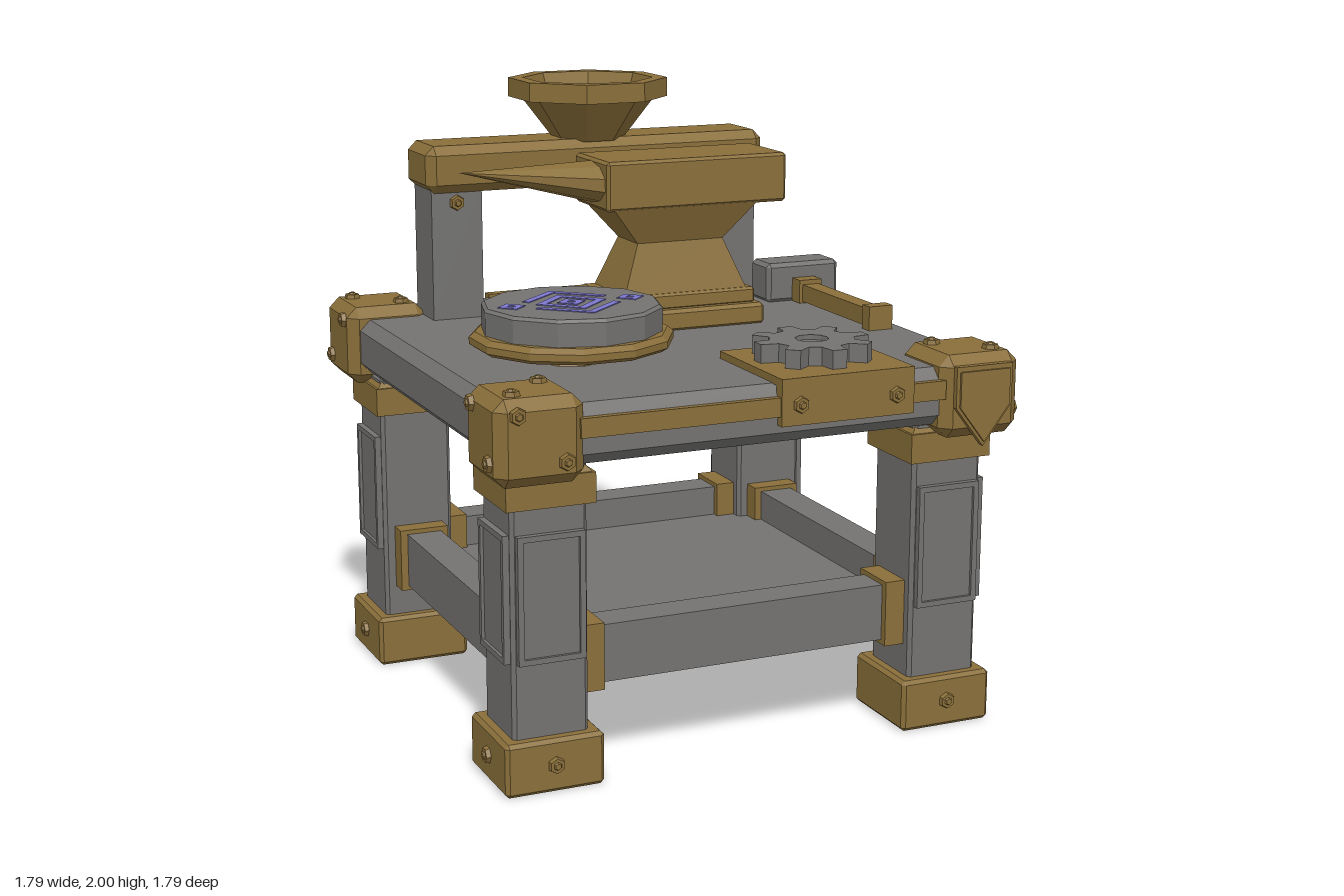
import * as THREE from 'three';
import { ConvexGeometry } from 'three/addons/geometries/ConvexGeometry.js';

const material = (name, color) => {
  const m = new THREE.MeshStandardMaterial({ color, flatShading: true });
  m.name = name;
  return m;
};

// Box with chamfered edges
function bevelBox(w, h, d, b) {
  const pts = [];
  for (const sx of [-1, 1]) for (const sy of [-1, 1]) for (const sz of [-1, 1]) {
    const x = w / 2, y = h / 2, z = d / 2;
    pts.push(new THREE.Vector3(sx * x, sy * (y - b), sz * (z - b)));
    pts.push(new THREE.Vector3(sx * (x - b), sy * y, sz * (z - b)));
    pts.push(new THREE.Vector3(sx * (x - b), sy * (y - b), sz * z));
  }
  return new ConvexGeometry(pts);
}

// Rectangular block whose bottom and top sizes differ
function frustum(w0, d0, w1, d1, h) {
  const g = new THREE.BoxGeometry(1, h, 1), p = g.attributes.position;
  for (let i = 0; i < p.count; i++) {
    const top = p.getY(i) > 0;
    p.setX(i, p.getX(i) * (top ? w1 : w0));
    p.setZ(i, p.getZ(i) * (top ? d1 : d0));
  }
  g.computeVertexNormals();
  return g;
}

const box = (w, h, d) => new THREE.BoxGeometry(w, h, d);
const polygon = (pts) => new THREE.Shape(pts.map(([x, y]) => new THREE.Vector2(x, y)));
const extrude = (shape, depth) => new THREE.ExtrudeGeometry(shape, { depth, bevelEnabled: false, curveSegments: 6 });
const diamond = (r) => [[r, 0], [0, r], [-r, 0], [0, -r]];

export function createModel() {
  const model = new THREE.Group();
  model.name = 'workbench';
  const brass = material('brass', 0x8a6f3a);
  const stone = material('stone grey', 0x747371);
  const violet = material('rune violet', 0x7d77cf);

  const add = (name, geo, mat, x = 0, y = 0, z = 0, parent = model) => {
    const m = new THREE.Mesh(geo, mat);
    m.name = name;
    m.position.set(x, y, z);
    parent.add(m);
    return m;
  };

  // Hex bolt pointing along a direction
  const washerGeo = new THREE.CylinderGeometry(0.024, 0.028, 0.016, 6);
  const headGeo = new THREE.CylinderGeometry(0.01, 0.015, 0.008, 6);
  const bolt = (x, y, z, dx, dy, dz) => {
    const g = new THREE.Group();
    g.name = 'bolt';
    add('boltHead', washerGeo, brass, 0, 0.006, 0, g);
    add('boltTip', headGeo, brass, 0, 0.016, 0, g);
    g.position.set(x, y, z);
    g.quaternion.setFromUnitVectors(new THREE.Vector3(0, 1, 0), new THREE.Vector3(dx, dy, dz));
    model.add(g);
  };

  // Framed panel for the outer faces of a leg
  const frameShape = polygon([[-0.108, -0.2], [0.108, -0.2], [0.108, 0.2], [-0.108, 0.2]]);
  frameShape.holes.push(polygon([[-0.09, -0.182], [-0.09, 0.182], [0.09, 0.182], [0.09, -0.182]]));
  const frameGeo = extrude(frameShape, 0.022);

  // Legs and table corners
  const LX = 0.677, LZ = 0.635;
  for (const sx of [-1, 1]) for (const sz of [-1, 1]) {
    const x = sx * LX, z = sz * LZ;
    add('foot', bevelBox(0.32, 0.17, 0.32, 0.012), brass, x, 0.087, z);
    bolt(x, 0.09, z + sz * 0.16, 0, 0, sz);
    bolt(x + sx * 0.16, 0.09, z, sx, 0, 0);
    add('leg', bevelBox(0.245, 0.88, 0.245, 0.012), stone, x, 0.58, z);
    for (const side of [0, 1]) {
      const panel = new THREE.Group();
      panel.name = 'legPanel';
      add('panelFrame', frameGeo, stone, 0, 0, 0, panel);
      add('panelInset', box(0.18, 0.364, 0.012), stone, 0, 0, 0.006, panel);
      panel.position.set(x + (side ? sx * 0.121 : 0), 0.61, z + (side ? 0 : sz * 0.121));
      panel.rotation.y = side ? sx * Math.PI / 2 : (sz > 0 ? 0 : Math.PI);
      model.add(panel);
    }
    add('legCollar', box(0.285, 0.095, 0.285), brass, x, 0.938, z);
    add('legCollarTaper', frustum(0.27, 0.27, 0.19, 0.19, 0.045), brass, x, 1.007, z);

    const cx = sx * 0.735, cz = sz > 0 ? 0.722 : -0.745;
    add('cornerCap', bevelBox(0.28, 0.265, 0.28, 0.035), brass, cx, 1.112, cz);
    for (const k of [-1, 1]) {
      bolt(cx + sx * k * 0.067, 1.2445, cz + sz * k * 0.067, 0, 1, 0);
      bolt(cx + sx * 0.14, 1.125 - k * 0.075, cz + sz * k * 0.075, sx, 0, 0);
      if (!(sx > 0 && sz > 0)) bolt(cx + sx * k * 0.075, 1.125 + k * 0.075, cz + sz * 0.14, 0, 0, sz);
    }
  }

  // Lower stretchers with clamps, and shelf
  for (const s of [-1, 1]) {
    add('stretcherLong', box(1.12, 0.185, 0.12), stone, 0, 0.383, s * LZ);
    add('stretcherSide', box(0.12, 0.185, 1.04), stone, s * LX, 0.383, 0);
    for (const t of [-1, 1]) {
      add('stretcherClamp', box(0.07, 0.215, 0.17), brass, t * 0.522, 0.383, s * LZ);
      add('stretcherClamp', box(0.17, 0.215, 0.07), brass, s * LX, 0.383, t * 0.482);
    }
  }
  add('shelf', box(1.3, 0.06, 1.22), stone, 0, 0.34, 0);

  // Table top with brass trims
  add('tableTop', bevelBox(1.675, 0.185, 1.685, 0.036), stone, 0, 1.112, -0.0125);
  add('frontTrim', box(1.22, 0.06, 0.04), brass, 0, 1.14, 0.83);
  add('backTrim', box(1.22, 0.06, 0.04), brass, 0, 1.14, -0.853);
  add('backPlate', box(0.57, 0.15, 0.04), brass, 0, 1.135, -0.868);

  // Gear and its mounting plate
  add('gearPlateTop', box(0.455, 0.026, 0.44), brass, 0.264, 1.215, 0.638);
  add('gearPlateFront', box(0.455, 0.145, 0.04), brass, 0.264, 1.153, 0.838);
  for (const x of [0.1, 0.43]) bolt(x, 1.145, 0.857, 0, 0, 1);
  const teeth = [];
  for (let i = 0; i < 8; i++) {
    for (const [da, r] of [[-0.24, 0.135], [-0.13, 0.19], [0.13, 0.19], [0.24, 0.135]]) {
      const a = i * Math.PI / 4 + da;
      teeth.push([r * Math.cos(a), r * Math.sin(a)]);
    }
  }
  const gearShape = polygon(teeth);
  gearShape.holes.push(new THREE.Path().absarc(0, 0, 0.053, 0, Math.PI * 2, true));
  add('gear', extrude(gearShape, 0.06), stone, 0.264, 1.227, 0.608).rotation.x = -Math.PI / 2;
  add('gearHub', new THREE.CylinderGeometry(0.053, 0.053, 0.045, 12), stone, 0.264, 1.249, 0.608);

  // Pointed bracket on the front left corner
  const shield = (s) => polygon([[-0.1, 0.13], [-0.1, 0], [0, -0.13], [0.1, 0], [0.1, 0.13]].map(([x, y]) => [x * s, y * s]));
  add('cornerShield', extrude(shield(1), 0.022), brass, 0.73, 1.085, 0.858);
  add('cornerShieldFace', extrude(shield(0.88), 0.008), brass, 0.73, 1.085, 0.88);

  // Rune disc on its stand
  const disc = new THREE.Group();
  disc.name = 'runeDisc';
  disc.position.set(-0.402, 0, 0.255);
  model.add(disc);
  add('discStand', new THREE.CylinderGeometry(0.07, 0.105, 0.07, 8), brass, 0, 1.232, 0, disc);
  const profile = (pts) => pts.map(([r, y]) => new THREE.Vector2(r, y));
  add('discRing', new THREE.LatheGeometry(profile([[0, 1.255], [0.305, 1.255], [0.324, 1.268], [0.324, 1.29],
    [0.305, 1.306], [0, 1.306]]), 12), brass, 0, 0, 0, disc).rotation.y = Math.PI / 12;
  add('discStone', new THREE.LatheGeometry(profile([[0, 1.3], [0.288, 1.3], [0.288, 1.38], [0.278, 1.39], [0, 1.39]]), 12),
    stone, 0, 0, 0, disc);
  const rune = (shape, x = 0, z = 0, turn = 0) => {
    const m = add('rune', extrude(shape, 0.004), violet, x, 1.389, z, disc);
    m.rotation.set(-Math.PI / 2, 0, turn);
  };
  const ring = (r, hole) => {
    const s = polygon(diamond(r));
    s.holes.push(polygon(diamond(hole).reverse()));
    return s;
  };
  rune(ring(0.048, 0.016));
  rune(ring(0.118, 0.082));
  for (const s of [-1, 1]) {
    rune(ring(0.046, 0.015), s * 0.2);
    rune(polygon([[0, 0.19], [-0.142, 0.06], [-0.125, 0.043], [0, 0.157], [0.125, 0.043], [0.142, 0.06]]), 0, 0, s > 0 ? 0 : Math.PI);
  }

  // Anvil
  const anvil = new THREE.Group();
  anvil.name = 'anvil';
  anvil.position.set(0, 0, -0.202);
  model.add(anvil);
  add('anvilBase', bevelBox(0.565, 0.075, 0.355, 0.012), brass, 0.132, 1.237, 0, anvil);
  add('anvilStep', bevelBox(0.52, 0.055, 0.29, 0.008), brass, 0.132, 1.297, 0, anvil);
  add('anvilLowerWaist', frustum(0.45, 0.27, 0.31, 0.17, 0.175), brass, 0.14, 1.405, 0, anvil);
  add('anvilUpperWaist', frustum(0.31, 0.17, 0.52, 0.275, 0.125), brass, 0.14, 1.552, 0, anvil);
  add('anvilBlock', bevelBox(0.655, 0.165, 0.285, 0.01), brass, 0.18, 1.693, 0, anvil);
  const horn = [new THREE.Vector3(-0.61, 1.75, 0)];
  for (let i = 0; i < 10; i++) {
    const a = (i + 0.5) / 10 * Math.PI * 2;
    horn.push(new THREE.Vector3(-0.145, 1.697 + 0.07 * Math.sin(a), 0.13 * Math.cos(a)));
  }
  add('anvilHorn', new ConvexGeometry(horn), brass, 0, 0, 0, anvil);

  // Gantry at the back
  for (const s of [-1, 1]) {
    add('gantryPost', box(0.18, 0.46, 0.18), stone, s * 0.515, 1.43, -0.597);
    bolt(s * 0.515, 1.605, -0.507, 0, 0, 1);
  }
  add('gantryBeam', bevelBox(1.25, 0.16, 0.245, 0.03), brass, 0, 1.72, -0.597);

  // Octagonal bowl
  add('bowl', new THREE.LatheGeometry(profile([[0, 1.79], [0.122, 1.79], [0.233, 1.935], [0.276, 1.935], [0.276, 2],
    [0.225, 2], [0.205, 1.94], [0.145, 1.86], [0, 1.86]]), 8), brass, 0, 0, -0.592).rotation.y = Math.PI / 8;

  // Hammer lying on the table
  add('hammerHead', bevelBox(0.28, 0.14, 0.14, 0.014), stone, 0.715, 1.272, -0.398);
  add('hammerHandle', box(0.062, 0.06, 0.55), brass, 0.715, 1.242, -0.06);
  add('hammerCollar', box(0.086, 0.082, 0.06), brass, 0.715, 1.247, -0.3);
  add('hammerPommel', box(0.088, 0.082, 0.05), brass, 0.715, 1.245, 0.215);

  return model;
}
